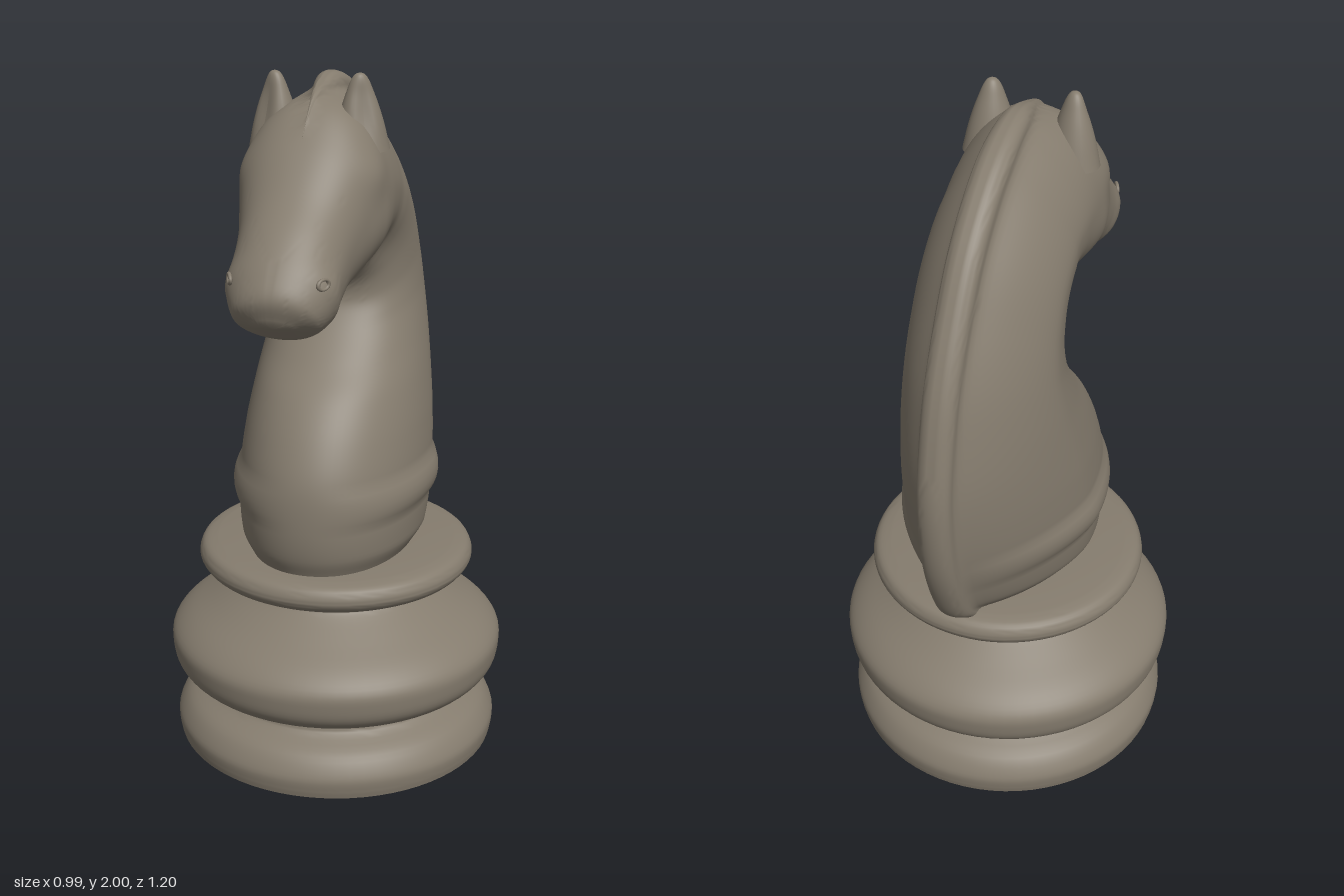
import * as THREE from 'three';
import { toCreasedNormals } from 'three/addons/utils/BufferGeometryUtils.js';

const stone = new THREE.MeshStandardMaterial({ color: 0x857c6e });
stone.name = 'warm grey stone';

function addMesh(parent, name, geometry) {
  const mesh = new THREE.Mesh(geometry, stone);
  mesh.name = name;
  parent.add(mesh);
  return mesh;
}

// Turned pedestal
function baseGeometry() {
  const profile = [
    [0.478, 0], [0.484, 0.03], [0.482, 0.065], [0.45, 0.115], [0.39, 0.15], [0.378, 0.17],
    [0.395, 0.19], [0.45, 0.21], [0.485, 0.245], [0.496, 0.29], [0.492, 0.335], [0.45, 0.38],
    [0.37, 0.43], [0.30, 0.475], [0.282, 0.495], [0.30, 0.513], [0.375, 0.535],
    [0.403, 0.56], [0.406, 0.585], [0.39, 0.61], [0.35, 0.62],
  ].map(p => new THREE.Vector2(...p));
  const points = new THREE.SplineCurve(profile).getPoints(80);
  points.unshift(new THREE.Vector2(0, 0));
  points.push(new THREE.Vector2(0.21, 0.622), new THREE.Vector2(0.2, 0.64), new THREE.Vector2(0, 0.64));
  return toCreasedNormals(new THREE.LatheGeometry(points, 72), 0.8);
}

// Neck and head sections: outer z, y; inner z, y; half width; mane strength; squareness
const SECTIONS = [
  [-0.44, 0.63, 0.31, 0.63, 0.235, 1, 2.1],
  [-0.49, 0.68, 0.33, 0.68, 0.264, 1, 2.1],
  [-0.535, 0.77, 0.34, 0.77, 0.274, 1, 2.1],
  [-0.575, 0.89, 0.33, 0.89, 0.274, 1, 2.1],
  [-0.595, 1.02, 0.285, 1.0, 0.265, 1, 2.1],
  [-0.597, 1.15, 0.217, 1.1, 0.25, 1, 2.1],
  [-0.575, 1.29, 0.127, 1.19, 0.233, 1, 2.1],
  [-0.53, 1.45, 0.048, 1.28, 0.215, 1, 2.1],
  [-0.45, 1.615, 0.012, 1.34, 0.205, 1, 2.1],
  [-0.33, 1.79, 0.012, 1.385, 0.2, 1, 2.1],
  [-0.15, 1.935, 0.03, 1.412, 0.198, 1, 2.1],
  [0.015, 1.988, 0.07, 1.435, 0.198, 0.85, 2.1],
  [0.11, 1.972, 0.14, 1.449, 0.197, 0.55, 2.2],
  [0.205, 1.93, 0.2, 1.445, 0.19, 0.2, 2.3],
  [0.307, 1.83, 0.26, 1.43, 0.172, 0, 2.3],
  [0.4, 1.724, 0.32, 1.41, 0.153, 0, 2.2],
  [0.497, 1.634, 0.37, 1.385, 0.145, 0, 2.1],
  [0.568, 1.553, 0.425, 1.367, 0.138, 0, 2],
  [0.597, 1.495, 0.48, 1.366, 0.112, 0, 2],
  [0.583, 1.435, 0.54, 1.4, 0.05, 0, 2],
];

// Soft swellings on each side: z, y, radius, height
const SWELLINGS = [
  [0.24, 1.76, 0.06, 0.012],   // brow
  [0.18, 1.58, 0.1, 0.014],    // cheek
  [0.02, 1.5, 0.07, -0.025],   // hollow behind the jaw
  [0.5, 1.53, 0.05, 0.008],    // muzzle
];

// Half width at fraction s from the outer to the inner edge
function halfWidth(s, depth, width, mane, power) {
  const d = s * depth, inset = 0.05 * mane;
  const u = Math.max(0, (d - inset) / (depth - inset));
  const p = u < 0.5 ? THREE.MathUtils.lerp(power, 1.5, mane) : power;
  const body = width * Math.pow(Math.max(0, 1 - Math.pow(Math.abs(2 * u - 1), p)), 1 / p);
  const round = Math.sqrt(Math.max(0, 1 - Math.pow(1 - Math.min(1, d / 0.035), 2)));
  const ridge = 0.047 * mane * round * Math.sqrt(Math.min(1, (1 - s) * 3));
  return Math.pow(Math.pow(body, 3) + Math.pow(ridge, 3), 1 / 3);
}

function swelling(p) {
  return SWELLINGS.reduce((sum, [z, y, r, h]) =>
    sum + h * Math.exp(-((p.z - z) ** 2 + (p.y - y) ** 2) / (r * r)), 0);
}

function horseGeometry() {
  const curve = pick => new THREE.CatmullRomCurve3(SECTIONS.map(pick));
  const outer = curve(s => new THREE.Vector3(0, s[1], s[0]));
  const inner = curve(s => new THREE.Vector3(0, s[3], s[2]));
  const shape = curve(s => new THREE.Vector3(s[4], s[5], s[6]));
  const rings = 114, half = 48, count = half * 2;
  const positions = [], index = [];
  for (let j = 0; j <= rings; j++) {
    const o = outer.getPoint(j / rings), n = inner.getPoint(j / rings), f = shape.getPoint(j / rings);
    const depth = o.distanceTo(n), mane = THREE.MathUtils.clamp(f.y, 0, 1);
    for (let i = 0; i < count; i++) {
      const s = (1 - Math.cos(i * Math.PI / half)) / 2;
      const p = o.clone().lerp(n, s);
      const side = i % half === 0 ? 0 : i < half ? 1 : -1;
      const w = halfWidth(s, depth, f.x, mane, f.z);
      positions.push(side * w * (1 + swelling(p) / f.x), p.y, p.z);
    }
  }
  for (let j = 0; j < rings; j++) {
    for (let i = 0; i < count; i++) {
      const a = j * count + i, b = j * count + (i + 1) % count;
      index.push(a, a + count, b, b, a + count, b + count);
    }
  }
  // Flat underside and nose tip
  const c = positions.length / 3, last = rings * count;
  positions.push(0, 0.63, -0.06, 0, 1.417, 0.565);
  for (let i = 0; i < count; i++) {
    const k = (i + 1) % count;
    index.push(c, i, k, c + 1, last + k, last + i);
  }
  const geometry = new THREE.BufferGeometry();
  geometry.setAttribute('position', new THREE.Float32BufferAttribute(positions, 3));
  geometry.setIndex(index);
  return toCreasedNormals(geometry, 1);
}

// Broad rounded ear with a shallow hollow in front
function earGeometry() {
  const profile = [[0.082, 0], [0.068, 0.06], [0.053, 0.11], [0.038, 0.15], [0.026, 0.178], [0.014, 0.194], [0, 0.199]];
  const points = new THREE.SplineCurve(profile.map(p => new THREE.Vector2(...p))).getPoints(24);
  points.forEach(p => { p.x = Math.max(0, p.x); });
  const geometry = new THREE.LatheGeometry(points, 28);
  const pos = geometry.attributes.position;
  for (let i = 0; i < pos.count; i++) {
    const x = pos.getX(i), y = pos.getY(i), z = pos.getZ(i);
    if (z > 0) pos.setZ(i, z - 0.018 * Math.exp(-(x * x) / 0.0008) * Math.sin(Math.PI * y / 0.199));
  }
  geometry.computeVertexNormals();
  return geometry;
}

export function createModel() {
  const model = new THREE.Group();
  model.name = 'chessKnight';

  addMesh(model, 'base', baseGeometry()).position.z = -0.04;
  addMesh(model, 'neckAndHead', horseGeometry());

  const ear = earGeometry();
  const ring = new THREE.TorusGeometry(0.016, 0.005, 8, 20);
  for (const side of [1, -1]) {
    const name = side > 0 ? 'left' : 'right';

    const earMesh = addMesh(model, name + 'Ear', ear);
    earMesh.position.set(side * 0.115, 1.801, 0.14);
    earMesh.rotation.set(0.06, side * 0.5, 0);
    earMesh.scale.set(0.95, 1, 0.85);

    const nostril = addMesh(model, name + 'Nostril', ring);
    nostril.position.set(side * 0.122, 1.53, 0.53);
    nostril.rotation.y = side * 1.1;
    nostril.scale.set(1.2, 0.8, 1);
  }
  return model;
}
